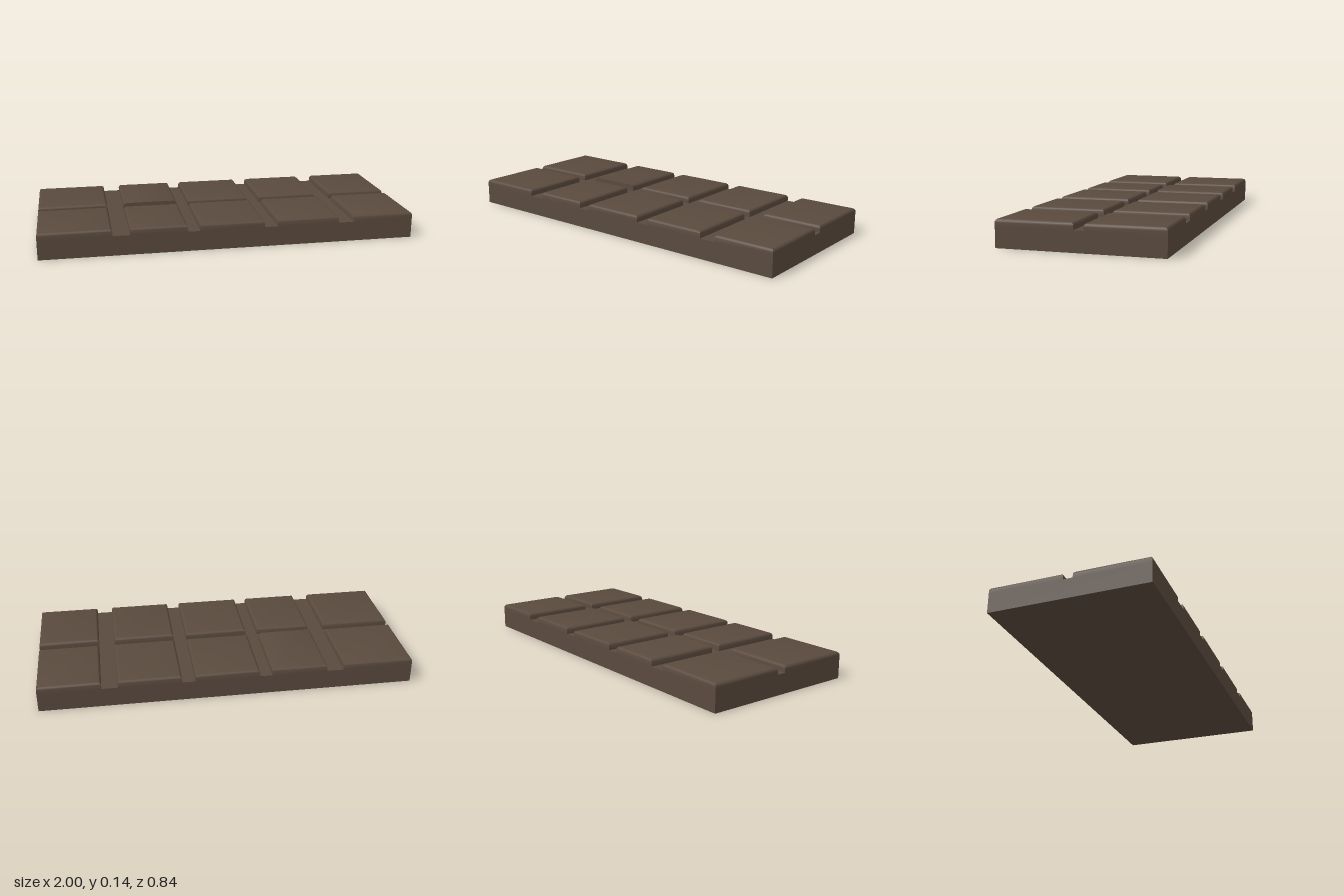
import * as THREE from 'three';
import { toCreasedNormals } from 'three/addons/utils/BufferGeometryUtils.js';

const BASE_TOP = 0.106, TOP = 0.142, ROUND = 0.018, STEPS = 5;
const HALF_DEPTH = 0.422, HALF_GROOVE = 0.025;

// Block with rounded top edges: rectangular rings that shrink along a quarter arc.
// A sharp front keeps its front edge square.
function blockGeometry(x0, x1, z0, z1, sharpFront) {
  const positions = [], index = [];
  const addRing = (y, inset) => {
    const front = z1 - (sharpFront ? 0 : inset);
    positions.push(x0 + inset, y, front, x1 - inset, y, front,
      x1 - inset, y, z0 + inset, x0 + inset, y, z0 + inset);
  };
  addRing(BASE_TOP, 0);
  for (let i = 0; i <= STEPS; i++) {
    const a = (i / STEPS) * Math.PI / 2;
    addRing(TOP - ROUND + ROUND * Math.sin(a), ROUND * (1 - Math.cos(a)));
  }
  for (let r = 0; r <= STEPS; r++) {
    for (let i = 0; i < 4; i++) {
      const a = r * 4 + i, b = r * 4 + (i + 1) % 4;
      index.push(a, b, b + 4, a, b + 4, a + 4);
    }
  }
  const t = (STEPS + 1) * 4;
  index.push(t, t + 1, t + 2, t, t + 2, t + 3);

  const geometry = new THREE.BufferGeometry();
  geometry.setAttribute('position', new THREE.Float32BufferAttribute(positions, 3));
  geometry.setIndex(index);
  return toCreasedNormals(geometry, Math.PI / 6);
}

export function createModel() {
  const group = new THREE.Group();
  group.name = 'chocolateBar';
  const chocolate = new THREE.MeshStandardMaterial({ color: 0x5a4a3e });

  // Slab under the blocks
  const base = new THREE.Mesh(new THREE.BoxGeometry(2, BASE_TOP, HALF_DEPTH * 2), chocolate);
  base.position.y = BASE_TOP / 2;
  base.name = 'base';
  group.add(base);

  // Two rows of five blocks of uneven width
  const columns = [[-1, -0.62], [-0.53, -0.23], [-0.165, 0.18], [0.25, 0.585], [0.67, 1]];
  columns.forEach(([x0, x1], i) => {
    const front = new THREE.Mesh(blockGeometry(x0, x1, HALF_GROOVE, HALF_DEPTH, false), chocolate);
    front.name = `frontBlock${i + 1}`;
    // The second block of the back row has a square edge along the middle groove
    const back = new THREE.Mesh(blockGeometry(x0, x1, -HALF_DEPTH, -HALF_GROOVE, i === 1), chocolate);
    back.name = `backBlock${i + 1}`;
    group.add(front, back);
  });
  return group;
}
